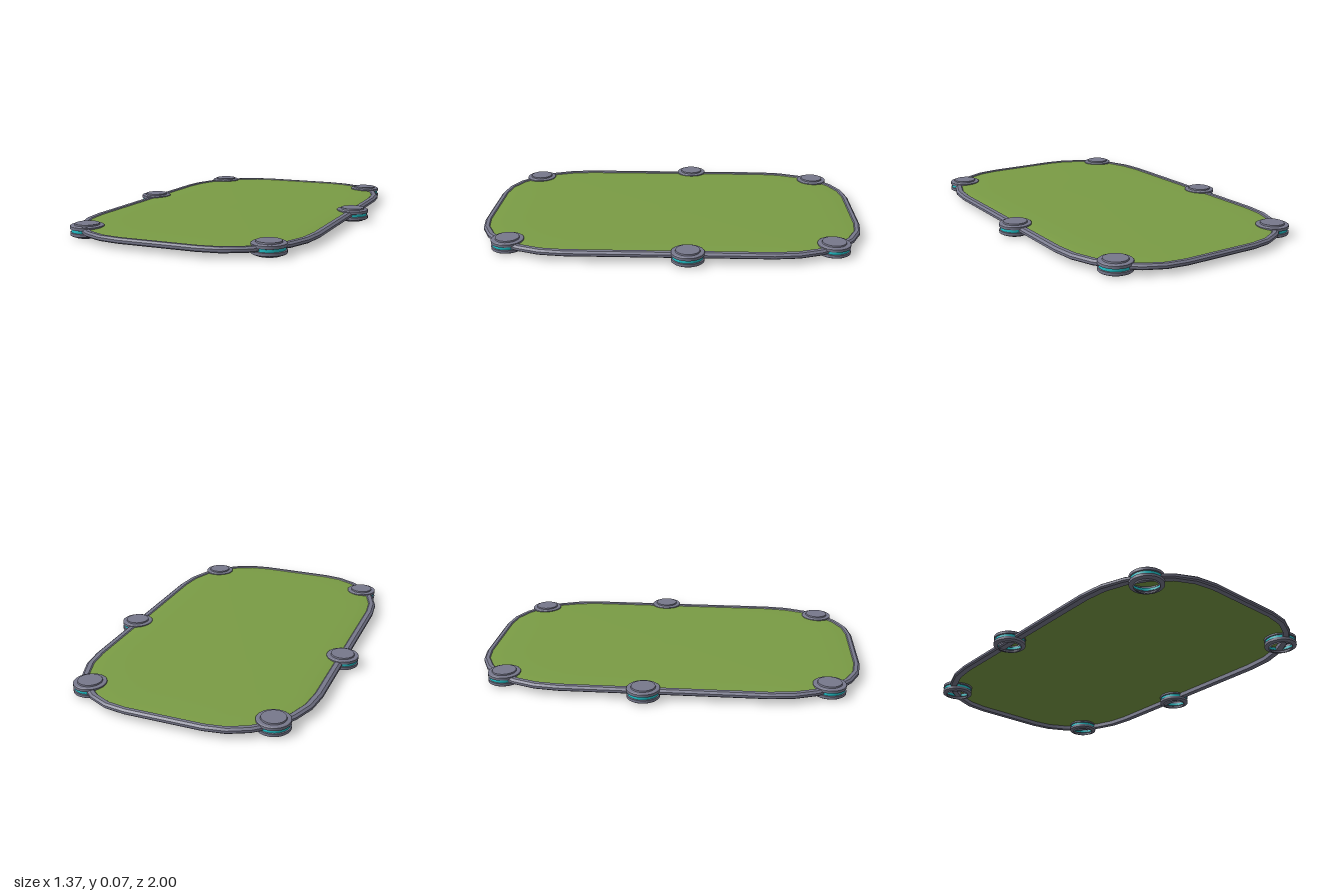
import * as THREE from 'three';
import { toCreasedNormals } from 'three/addons/utils/BufferGeometryUtils.js';

const material = (color) => new THREE.MeshStandardMaterial({ color, side: THREE.DoubleSide });

// Closed stadium outline, inset from the outer edge: straight sides, elliptical corners
function outline(inset) {
  const points = [];
  const steps = 6;
  for (let q = 0; q < 4; q++) {
    const sx = q === 0 || q === 3 ? 1 : -1;
    const sz = q < 2 ? 1 : -1;
    for (let i = 0; i <= steps; i++) {
      const a = (q + i / steps) * Math.PI / 2;
      points.push([
        sx * 0.2 + (0.42 - inset) * Math.cos(a),
        sz * 0.52 + (0.48 - inset * 0.8) * Math.sin(a),
      ]);
    }
  }
  return points;
}

// Skin a list of equal-sized rings; wrap joins the last ring to the first
function skin(rings, wrap) {
  const n = rings[0].length;
  const index = [];
  const count = wrap ? rings.length : rings.length - 1;
  for (let r = 0; r < count; r++) {
    const s = (r + 1) % rings.length;
    for (let i = 0; i < n; i++) {
      const j = (i + 1) % n;
      index.push(r * n + i, s * n + i, r * n + j, s * n + i, s * n + j, r * n + j);
    }
  }
  const geometry = new THREE.BufferGeometry();
  geometry.setAttribute('position', new THREE.Float32BufferAttribute(rings.flat(2), 3));
  geometry.setIndex(index);
  geometry.computeVertexNormals();
  return geometry;
}

export function createModel() {
  const group = new THREE.Group();
  const grey = material(0x77788c);
  const green = material(0x7a9c45);
  const cyan = material(0x22c4cc);

  const add = (parent, name, geometry, mat) => {
    const mesh = new THREE.Mesh(geometry, mat);
    mesh.name = name;
    parent.add(mesh);
    return mesh;
  };

  // Bevelled rim: [inset, height] around its cross-section
  const section = [[0.008, 0.025], [0, 0.031], [0, 0.043], [0.012, 0.052], [0.034, 0.052], [0.04, 0.047], [0.04, 0.025]];
  const rimRings = section.map(([inset, y]) => outline(inset).map(([x, z]) => [x, y, z]));
  add(group, 'rim', toCreasedNormals(skin(rimRings, true), 0.5), grey);

  // Gently domed field, from a short edge skirt in to the centre
  const edge = outline(0.038);
  const field = [[1, 0.036], [1, 0.047], [0.97, 0.0495], [0.9, 0.052], [0.75, 0.0535], [0.4, 0.0545], [0, 0.055]];
  const fieldRings = field.map(([t, y]) => edge.map(([x, z]) => [x * t, y, z * t]));
  add(group, 'field', toCreasedNormals(skin(fieldRings, false), 0.6), green);

  // Round hubs: stepped cap above, open stepped ring below, bright band between
  const lathe = (profile) => toCreasedNormals(
    new THREE.LatheGeometry(profile.map(([r, y]) => new THREE.Vector2(r, y)), 32), 0.5);
  const cap = lathe([[0.076, 0.04], [0.083, 0.042], [0.083, 0.056], [0.079, 0.059], [0.062, 0.06], [0.06, 0.067], [0, 0.067]]);
  const base = lathe([[0.06, 0], [0.062, 0.007], [0.079, 0.008], [0.083, 0.011], [0.083, 0.025], [0.076, 0.027]]);
  const band = new THREE.CylinderGeometry(0.077, 0.077, 0.015, 32, 1, true);

  for (const side of [1, -1]) {
    for (const [x, z] of [[0.477, 0.82], [0.602, -0.095], [0.477, -0.825]]) {
      const hub = new THREE.Group();
      hub.name = 'hub';
      hub.position.set(side * x, 0, z);
      add(hub, 'hubCap', cap, grey);
      add(hub, 'hubBase', base, grey);
      add(hub, 'hubBand', band, cyan).position.y = 0.0335;
      group.add(hub);
    }
  }
  return group;
}
